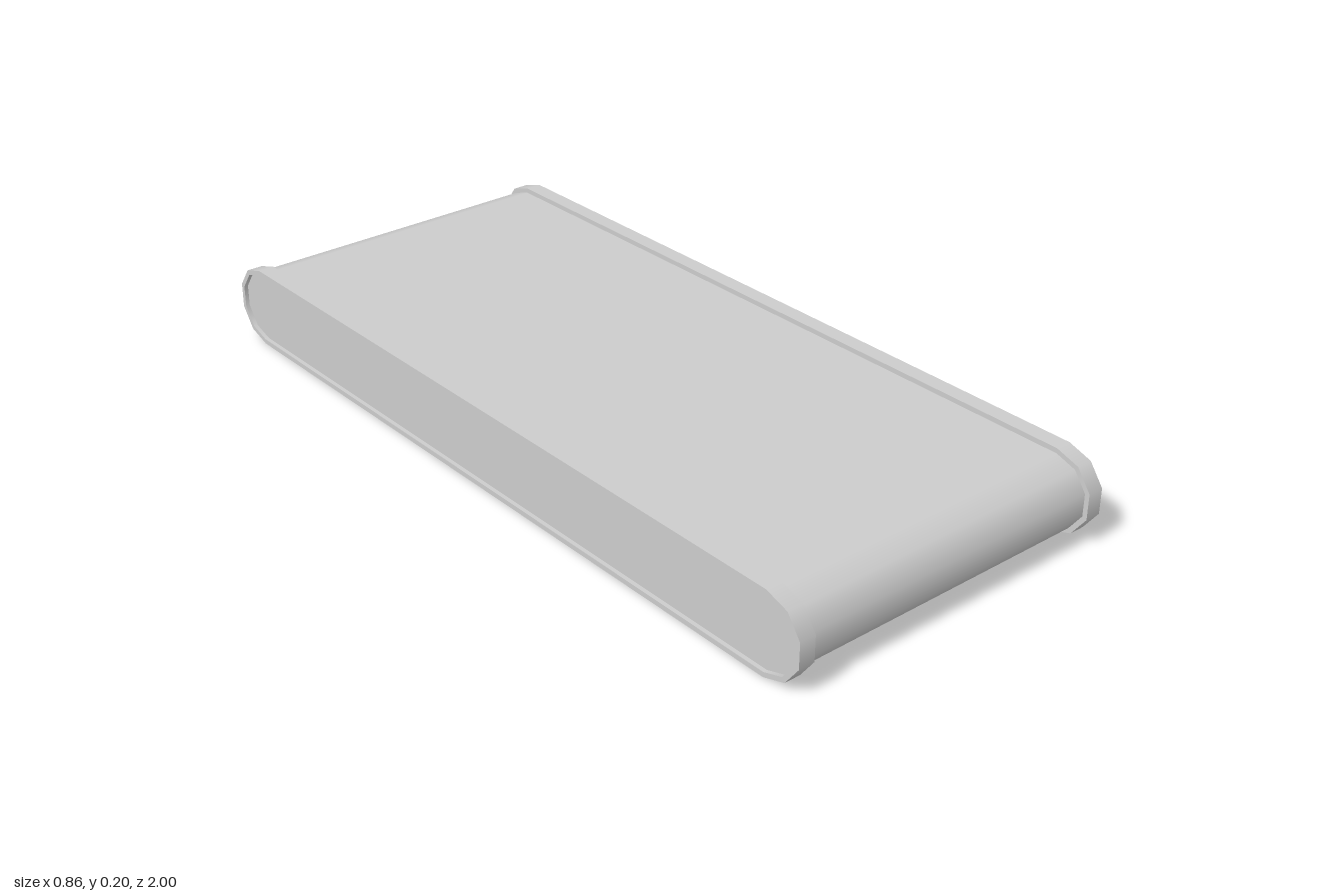
import * as THREE from 'three';

const CENTER_Y = 0.099; // height of the roller axes
const AXIS_Z = 0.906; // roller axes sit at z = +-AXIS_Z
const OUTER_R = 0.099;
const BELT_R = 0.087;
const HALF_WIDTH = 0.43;
const RIM_WIDTH = 0.04;
const STEPS = 5; // facets around each rounded end

// Closed loop with two rounded ends, drawn in the (z, y) plane
function loopPoints(radius) {
  const points = [];
  for (const side of [1, -1]) {
    for (let i = 0; i <= STEPS; i++) {
      const a = -Math.PI / 2 + (Math.PI * i) / STEPS;
      points.push(new THREE.Vector2(
        side * (AXIS_Z + radius * Math.cos(a)),
        side * radius * Math.sin(a),
      ));
    }
  }
  return points;
}

// Extrude a loop along x, centred, with normals that roll smoothly round the ends
function extrudeLoop(shape, width) {
  const geometry = new THREE.ExtrudeGeometry(shape, { depth: width, bevelEnabled: false });
  geometry.translate(0, 0, -width / 2);
  const pos = geometry.attributes.position;
  const nor = geometry.attributes.normal;
  const n = new THREE.Vector3();
  const old = new THREE.Vector3();
  for (let i = 0; i < pos.count; i++) {
    old.fromBufferAttribute(nor, i);
    if (Math.abs(old.z) > 0.5) continue; // end caps stay flat
    const x = pos.getX(i);
    n.set(x - THREE.MathUtils.clamp(x, -AXIS_Z, AXIS_Z), pos.getY(i), 0).normalize();
    if (n.dot(old) < 0) n.negate(); // inner wall of a rim
    nor.setXYZ(i, n.x, n.y, n.z);
  }
  geometry.rotateY(Math.PI / 2);
  return geometry;
}

export function createModel() {
  const model = new THREE.Group();
  model.name = 'conveyor';
  const material = new THREE.MeshStandardMaterial({ color: 0xcccccc });

  // Belt body, ending just inside the outer faces of the rims
  const belt = new THREE.Mesh(
    extrudeLoop(new THREE.Shape(loopPoints(BELT_R)), 2 * (HALF_WIDTH - 0.01)),
    material,
  );
  belt.name = 'belt';
  belt.position.y = CENTER_Y;
  model.add(belt);

  // Raised rim around each side of the belt
  const ring = new THREE.Shape(loopPoints(OUTER_R));
  ring.holes.push(new THREE.Path(loopPoints(BELT_R).reverse()));
  const rimGeometry = extrudeLoop(ring, RIM_WIDTH);
  for (const side of [1, -1]) {
    const rim = new THREE.Mesh(rimGeometry, material);
    rim.name = side > 0 ? 'leftRim' : 'rightRim';
    rim.position.set(side * (HALF_WIDTH - RIM_WIDTH / 2), CENTER_Y, 0);
    model.add(rim);
  }
  return model;
}
